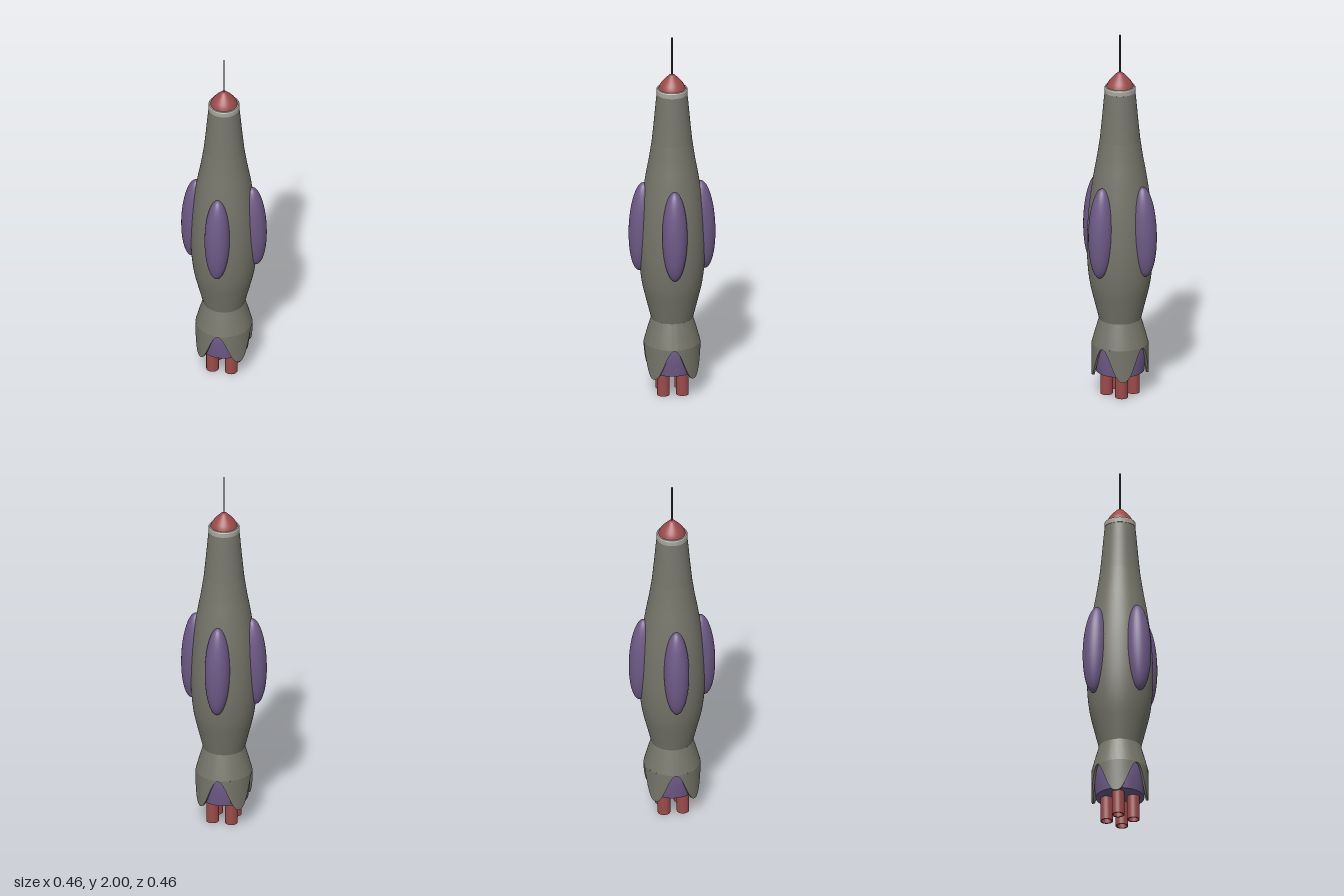
import * as THREE from 'three';
import { toCreasedNormals } from 'three/addons/utils/BufferGeometryUtils.js';

const mat = (name, color, extra = {}) => {
  const m = new THREE.MeshStandardMaterial({ color, ...extra });
  m.name = name;
  return m;
};

export function createModel() {
  const root = new THREE.Group();
  root.name = 'rocket';
  const grey = mat('hullGrey', 0x75756a);
  const purple = mat('purple', 0x6e5a87);
  const red = mat('red', 0x9c4a4a, { side: THREE.DoubleSide });
  const pale = mat('paleGrey', 0xa8a89e);
  const dark = mat('darkMetal', 0x444444);

  const add = (name, geometry, material, parent = root) => {
    const mesh = new THREE.Mesh(geometry, material);
    mesh.name = name;
    parent.add(mesh);
    return mesh;
  };
  const vecs = (pts) => pts.map(([r, y]) => new THREE.Vector2(r, y));
  // profiles run from bottom to top as [radius, height]
  const lathe = (pts, segments = 64) =>
    toCreasedNormals(new THREE.LatheGeometry(vecs(pts), segments), 0.4);
  const smoothLathe = (pts, n = 28) =>
    new THREE.LatheGeometry(new THREE.SplineCurve(vecs(pts)).getPoints(n), 64);

  // hull: swelling main body and tapered neck
  add('mainBody', smoothLathe([
    [0.11, 0.42], [0.135, 0.52], [0.156, 0.61], [0.168, 0.7], [0.173, 0.8],
    [0.171, 0.92], [0.162, 1.05], [0.142, 1.2], [0.121, 1.32], [0.106, 1.42],
  ], 40), grey);
  add('neck', smoothLathe([[0.106, 1.42], [0.096, 1.52], [0.086, 1.63], [0.08, 1.69]], 12), grey);

  // nose
  add('collar', lathe([
    [0.076, 1.682], [0.082, 1.685], [0.082, 1.708], [0.078, 1.715], [0, 1.715],
  ]), pale);
  add('noseCone', smoothLathe([
    [0.071, 1.714], [0.062, 1.735], [0.045, 1.758], [0.024, 1.78], [0.013, 1.79], [0, 1.794],
  ], 20), red);
  add('antenna', new THREE.CylinderGeometry(0.004, 0.004, 0.215, 12), dark).position.y = 1.8925;

  // four side pods, leaning in a little at the top
  for (let i = 0; i < 4; i++) {
    const holder = new THREE.Group();
    holder.name = 'podHolder';
    holder.rotation.y = (i * Math.PI) / 2;
    root.add(holder);
    const pod = add('pod', new THREE.SphereGeometry(1, 40, 32), purple, holder);
    pod.scale.set(0.066, 0.248, 0.066);
    pod.position.set(0, 0.937, 0.161);
    pod.rotation.x = -0.045;
  }

  // tail skirt: flared top, then a wall cut into four pointed lobes
  add('skirtFlare', lathe([[0.148, 0.285], [0.13, 0.352], [0.11, 0.42]], 96), grey);
  const wall = new THREE.LatheGeometry(
    vecs([[0.137, 0.285], [0.137, 0], [0.149, 0], [0.148, 0.285]]), 128);
  const p = wall.attributes.position;
  for (let i = 0; i < p.count; i++) {
    if (p.getY(i) > 0.1) continue;
    const a = Math.atan2(p.getX(i), p.getZ(i));
    p.setY(i, 0.108 + 0.174 * Math.pow((1 + Math.cos(4 * a)) / 2, 1.2));
  }
  add('skirtLobes', toCreasedNormals(wall, 0.6), grey);

  // engine housing inside the skirt
  add('engineHousing', lathe([[0, 0.13], [0.127, 0.13], [0.136, 0.2], [0.138, 0.285], [0.108, 0.4]]), purple);

  // four hollow exhaust pipes
  const pipe = lathe([[0.026, 0.135], [0.026, 0], [0.033, 0], [0.033, 0.135]], 28);
  for (const x of [-0.05, 0.05]) {
    for (const z of [-0.05, 0.05]) add('exhaustPipe', pipe, red).position.set(x, 0, z);
  }
  return root;
}
